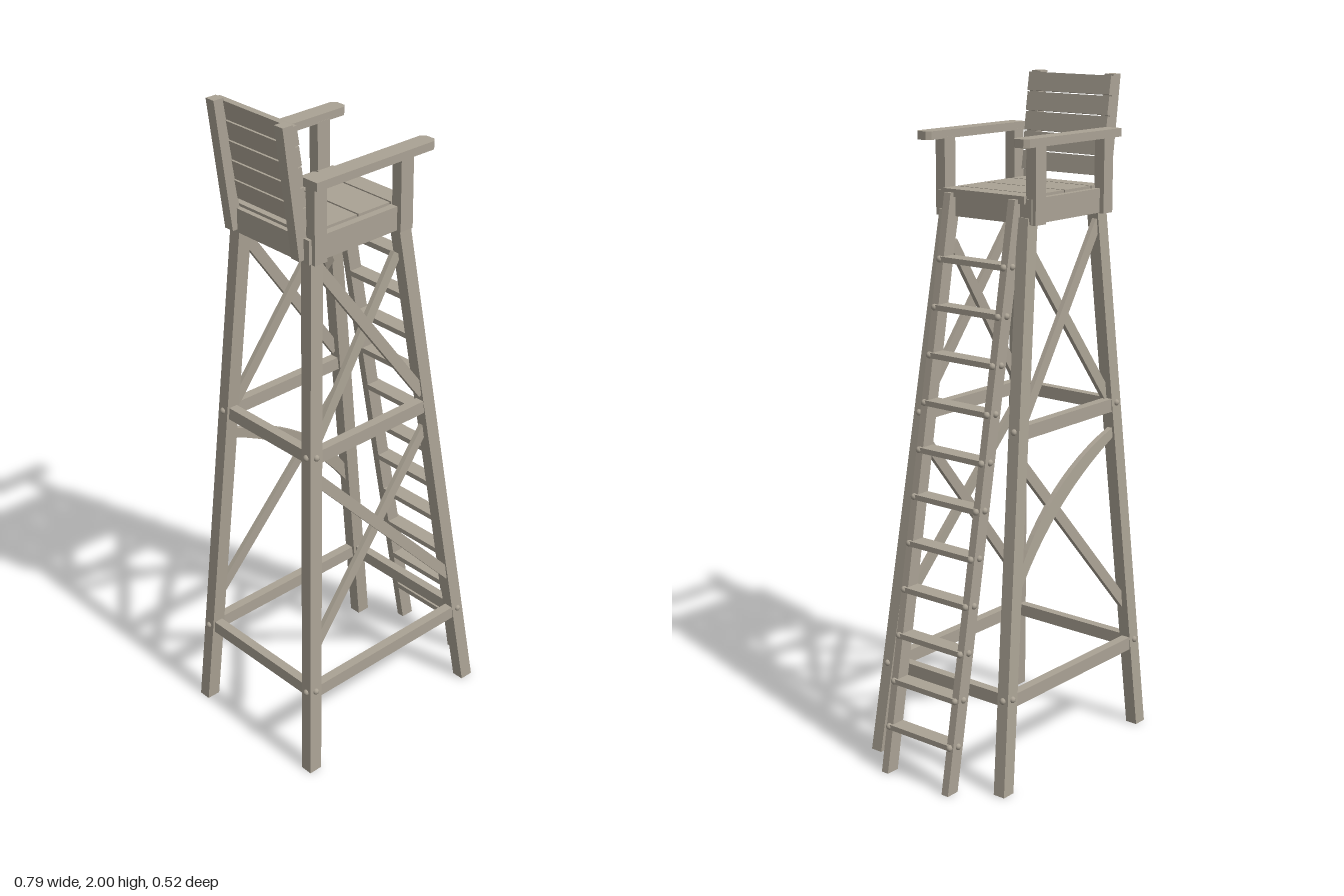
import * as THREE from 'three';

export function createModel() {
  const model = new THREE.Group();
  const wood = new THREE.MeshStandardMaterial({ color: 0xaaa294 });
  wood.name = 'weatheredWood';
  const V = (x, y, z) => new THREE.Vector3(x, y, z);

  function add(name, geo, parent = model) {
    const m = new THREE.Mesh(geo, wood);
    m.name = name;
    parent.add(m);
    return m;
  }
  function box(name, x0, x1, y0, y1, z0, z1) {
    const m = add(name, new THREE.BoxGeometry(x1 - x0, y1 - y0, z1 - z0));
    m.position.set((x0 + x1) / 2, (y0 + y1) / 2, (z0 + z1) / 2);
    return m;
  }
  // Leaning post with level ends: a box sheared from foot a to head b
  function post(name, a, b, w, d) {
    const h = b.y - a.y;
    const geo = new THREE.BoxGeometry(w, h, d).translate(0, h / 2, 0);
    const p = geo.attributes.position;
    for (let i = 0; i < p.count; i++) {
      const t = p.getY(i) / h;
      p.setXYZ(i, p.getX(i) + a.x + (b.x - a.x) * t, p.getY(i) + a.y, p.getZ(i) + a.z + (b.z - a.z) * t);
    }
    geo.computeVertexNormals();
    return add(name, geo);
  }
  // Straight board from a to b; its thin side faces along z as nearly as possible
  function board(name, a, b, height, thick) {
    const dir = b.clone().sub(a);
    const m = add(name, new THREE.BoxGeometry(dir.length(), height, thick));
    const x = dir.normalize();
    const y = V(0, 0, 1).cross(x).normalize();
    m.quaternion.setFromRotationMatrix(new THREE.Matrix4().makeBasis(x, y, x.clone().cross(y)));
    m.position.copy(a).add(b).multiplyScalar(0.5);
    return m;
  }
  const boltGeo = new THREE.SphereGeometry(0.01, 8, 6);
  const bolt = (x, y, z) => add('bolt', boltGeo).position.set(x, y, z);

  // Where the legs are at a given height
  const legTop = 1.63;
  const legZ = y => 0.24 - 0.097 * y / legTop;
  const backX = y => -0.377 + 0.112 * y / legTop;
  const frontX = y => 0.277 - 0.222 * y / legTop;

  for (const s of [1, -1]) {
    // Legs
    for (const [name, fx] of [['backLeg', backX], ['frontLeg', frontX]])
      post(name, V(fx(0), 0, s * legZ(0)), V(fx(legTop), legTop, s * legZ(legTop)), 0.043, 0.038);

    // Side rails with bolts
    for (const y of [0.272, 1.035]) {
      const z = s * (legZ(y) + 0.003);
      box('sideRail', backX(y), frontX(y), y - 0.02, y + 0.02, z - 0.014, z + 0.014);
      bolt(backX(y) - 0.02, y + 0.005, s * legZ(y));
      bolt(frontX(y) + 0.02, y + 0.005, s * legZ(y));
    }

    // Crossed braces
    const brace = (x0, y0, x1, y1, off) =>
      board('crossBrace', V(x0, y0, s * (legZ(y0) + off)), V(x1, y1, s * (legZ(y1) + off)), 0.033, 0.014);
    brace(-0.255, 1.585, 0.115, 1.08, 0.007);
    brace(-0.29, 1.06, 0.045, 1.53, -0.007);
    brace(-0.34, 0.4, 0.145, 0.965, -0.007);
    if (s > 0) brace(-0.3, 0.965, 0.225, 0.4, 0.007);

    // Arm posts and armrests
    box('backArmPost', -0.29, -0.247, 1.61, 1.832, s * 0.165 - 0.017, s * 0.165 + 0.017);
    box('frontArmPost', 0.022, 0.068, 1.61, 1.832, s * 0.165 - 0.017, s * 0.165 + 0.017);
    const arm = new THREE.Shape();
    arm.moveTo(-0.3, -0.027).lineTo(0.122, -0.027).lineTo(0.135, -0.015).lineTo(0.135, 0.015);
    arm.lineTo(0.122, 0.027).lineTo(-0.3, 0.027).closePath();
    const armMesh = add('armrest', new THREE.ExtrudeGeometry(arm, { depth: 0.024, bevelEnabled: false })
      .rotateX(-Math.PI / 2));
    armMesh.position.set(0, 1.828, s * 0.176);

    // Seat side board and backrest post
    box('seatSideBoard', -0.3, 0.06, 1.612, 1.682, s * 0.155 - 0.013, s * 0.155 + 0.013);
    post('backrestPost', V(-0.299, 1.62, s * 0.134), V(-0.348, 2, s * 0.134), 0.034, 0.032);

    // Ladder rail
    post('ladderRail', V(0.372, 0, s * 0.117), V(0.072, 1.68, s * 0.117), 0.043, 0.024);
  }

  // Bowed brace on the far side
  const bow = new THREE.Shape();
  bow.moveTo(-0.29, 0.965).quadraticCurveTo(0.03, 0.87, 0.19, 0.61);
  bow.lineTo(0.185, 0.565).quadraticCurveTo(0.02, 0.8, -0.29, 0.935).closePath();
  const bowGeo = new THREE.ExtrudeGeometry(bow, { depth: 0.016, bevelEnabled: false, curveSegments: 12 });
  const bp = bowGeo.attributes.position;
  for (let i = 0; i < bp.count; i++) bp.setZ(i, bp.getZ(i) - legZ(bp.getY(i)) - 0.012);
  bowGeo.computeVertexNormals();
  add('bowedBrace', bowGeo);

  // Rails running across the tower
  for (const [name, x, y] of [['lowerBackRail', backX(0.275), 0.275], ['lowerFrontRail', frontX(0.275), 0.275],
    ['middleBackRail', backX(1.035), 1.035]]) {
    const z = legZ(y);
    box(name, x - 0.014, x + 0.014, y - 0.019, y + 0.019, -z, z);
    for (const s of [1, -1]) bolt(x, y + 0.005, s * (z + 0.018));
  }

  // Short strut under the seat
  board('seatStrut', V(-0.165, 1.62, 0.055), V(-0.012, 1.44, -0.068), 0.034, 0.014);

  // Seat frame ends and slats
  box('seatFrontBoard', 0.045, 0.072, 1.612, 1.682, -0.17, 0.17);
  box('seatBackBoard', -0.3, -0.275, 1.612, 1.682, -0.17, 0.17);
  for (const [x0, x1] of [[-0.285, -0.231], [-0.225, -0.106], [-0.1, 0.014], [0.02, 0.08]])
    box('seatSlat', x0, x1, 1.668, 1.69, -0.15, 0.146);

  // Backrest slats, slightly tilted
  const slats = 5, y0 = 1.71, pitch = (1.997 - y0) / slats;
  for (let i = 0; i < slats; i++) {
    const y = y0 + pitch * (i + 0.5);
    const m = add('backrestSlat', new THREE.BoxGeometry(0.016, pitch - 0.003, 0.3));
    m.position.set(-0.277 - 0.049 * (y - 1.62) / 0.38, y, 0);
    m.rotation.z = 0.16;
  }

  // Ladder treads with bolts
  for (let i = 0; i < 11; i++) {
    const y = 0.14 + i * 0.1355;
    const x = 0.372 - 0.3 * y / 1.68;
    box('ladderTread', x - 0.022, x + 0.028, y - 0.008, y + 0.008, -0.116, 0.116);
    for (const s of [1, -1]) {
      bolt(x + 0.024, y, s * 0.117);
      bolt(x, y, s * 0.128);
    }
  }

  return model;
}
